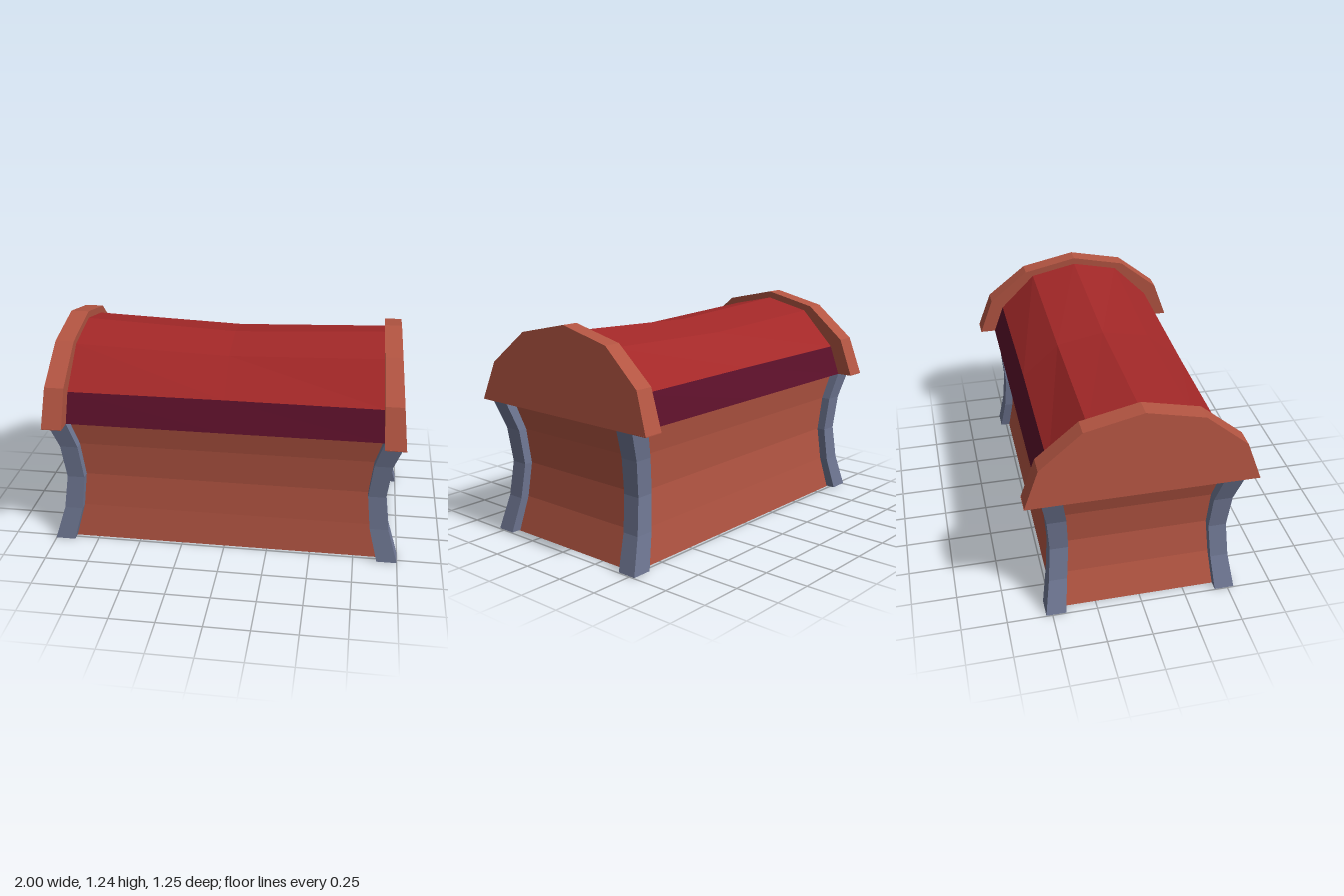
import * as THREE from 'three';

const mat = (name, color) => new THREE.MeshStandardMaterial({ name, color, flatShading: true, side: THREE.DoubleSide });

// Flat-shaded skin over rows of [x, y, z] points
function skin(rows) {
  const pos = [];
  for (let i = 0; i < rows.length - 1; i++) {
    for (let j = 0; j < rows[i].length - 1; j++) {
      const a = rows[i][j], b = rows[i][j + 1], c = rows[i + 1][j + 1], d = rows[i + 1][j];
      pos.push(...a, ...b, ...c, ...a, ...c, ...d);
    }
  }
  const g = new THREE.BufferGeometry();
  g.setAttribute('position', new THREE.Float32BufferAttribute(pos, 3));
  g.computeVertexNormals();
  return g;
}

// Closed rectangular ring at height y
const ring = (xa, xb, za, zb, y) => {
  const x0 = Math.min(xa, xb), x1 = Math.max(xa, xb), z0 = Math.min(za, zb), z1 = Math.max(za, zb);
  return [[x0, y, z1], [x1, y, z1], [x1, y, z0], [x0, y, z0], [x0, y, z1]];
};

// Half profile [z, y] mirrored front to back
const arch = (half) => [...half, ...half.slice(0, -1).reverse().map(([z, y]) => [-z, y])];

export function createModel() {
  const model = new THREE.Group();
  const wood = mat('reddish wood', 0xb35542);
  const metal = mat('blue grey metal', 0x6f7793);
  const red = mat('lid red', 0xa32828);
  const plum = mat('dark plum', 0x5a1029);
  const add = (name, geometry, material, parent = model) => {
    const m = new THREE.Mesh(geometry, material);
    m.name = name;
    parent.add(m);
    return m;
  };

  // Waisted section: height, leg outer x, inner x, outer z, inner z
  const levels = [
    [0.004, 1.0, 0.885, 0.535, 0.425],
    [0.2, 0.94, 0.835, 0.505, 0.405],
    [0.4, 0.915, 0.815, 0.49, 0.39],
    [0.6, 0.94, 0.838, 0.505, 0.4],
    [0.76, 1.0, 0.885, 0.535, 0.425],
  ];

  // Open-bottomed body walls, running through the middle of the legs
  add('bodyWalls', skin(levels.map(([y, xo, xi, zo, zi]) => {
    const x = (xo + xi) / 2, z = (zo + zi) / 2;
    return ring(-x, x, -z, z, y < 0.01 ? 0 : y);
  })), wood);

  // Curved corner legs with a small foot inset
  const legs = new THREE.Group();
  legs.name = 'cornerLegs';
  model.add(legs);
  for (const sx of [-1, 1]) {
    for (const sz of [-1, 1]) {
      const rows = levels.map(([y, xo, xi, zo, zi]) => ring(sx * xo, sx * xi, sz * zo, sz * zi, y));
      const centre = (y) => Array(5).fill([sx * 0.9425, y, sz * 0.48]);
      add('leg', skin([centre(0.004), ...rows, centre(0.76)]), metal, legs);
      const inset = add('footInset', new THREE.BoxGeometry(0.058, 0.006, 0.055), wood, legs);
      inset.position.set(sx * 0.914, 0.003, sz * 0.4525);
    }
  }

  // Lid end caps, leaning inward; the two sides lean by different amounts
  const base = 0.76, top = 1.24;
  const capProfile = arch([[0.625, base], [0.545, 0.98], [0.315, 1.17], [0, top]]);
  const lidEnd = arch([[0.535, base], [0.475, 0.93], [0.27, 1.14], [0, 1.2]]);
  const lidMid = arch([[0.535, base], [0.47, 0.93], [0.265, 1.11], [0, 1.16]]);
  const lean = (from, to) => (y) => THREE.MathUtils.lerp(from, to, (y - base) / (top - base));
  const sides = [
    { s: 1, outer: lean(1, 0.95), inner: lean(0.885, 0.855) },
    { s: -1, outer: lean(1, 0.975), inner: lean(0.885, 0.872) },
  ];
  for (const { s, outer, inner } of sides) {
    const place = (profile, f) => profile.map(([z, y]) => [s * f(y), y, z]);
    const rows = [
      capProfile.map(([z]) => [s * outer(base), base, z]),
      place(capProfile, outer),
      place(capProfile, inner),
      place(lidEnd, inner),
      place(lidEnd, (y) => outer(y) - 0.003),
    ];
    add('lidEndCap', skin(s > 0 ? rows : rows.map((r) => r.reverse())), wood);
    // Flat feet closing the cap rim below
    for (const sz of [-1, 1]) {
      const tip = add('capRimFoot', new THREE.BoxGeometry(0.115, 0.004, 0.09), wood);
      tip.position.set(s * 0.9425, base + 0.002, sz * 0.58);
    }
  }

  // Sagging barrel lid: plum lower bands, red top
  const lidRows = [
    lidEnd.map(([z, y]) => [sides[0].inner(y) + 0.005, y, z]),
    lidMid.map(([z, y]) => [0, y, z]),
    lidEnd.map(([z, y]) => [-sides[1].inner(y) - 0.005, y, z]),
  ];
  const band = (from, to) => skin(lidRows.map((r) => r.slice(from, to + 1)));
  add('lidFrontBand', band(0, 1), plum);
  add('lidTop', band(1, 5), red);
  add('lidBackBand', band(5, 6), plum);

  return model;
}
